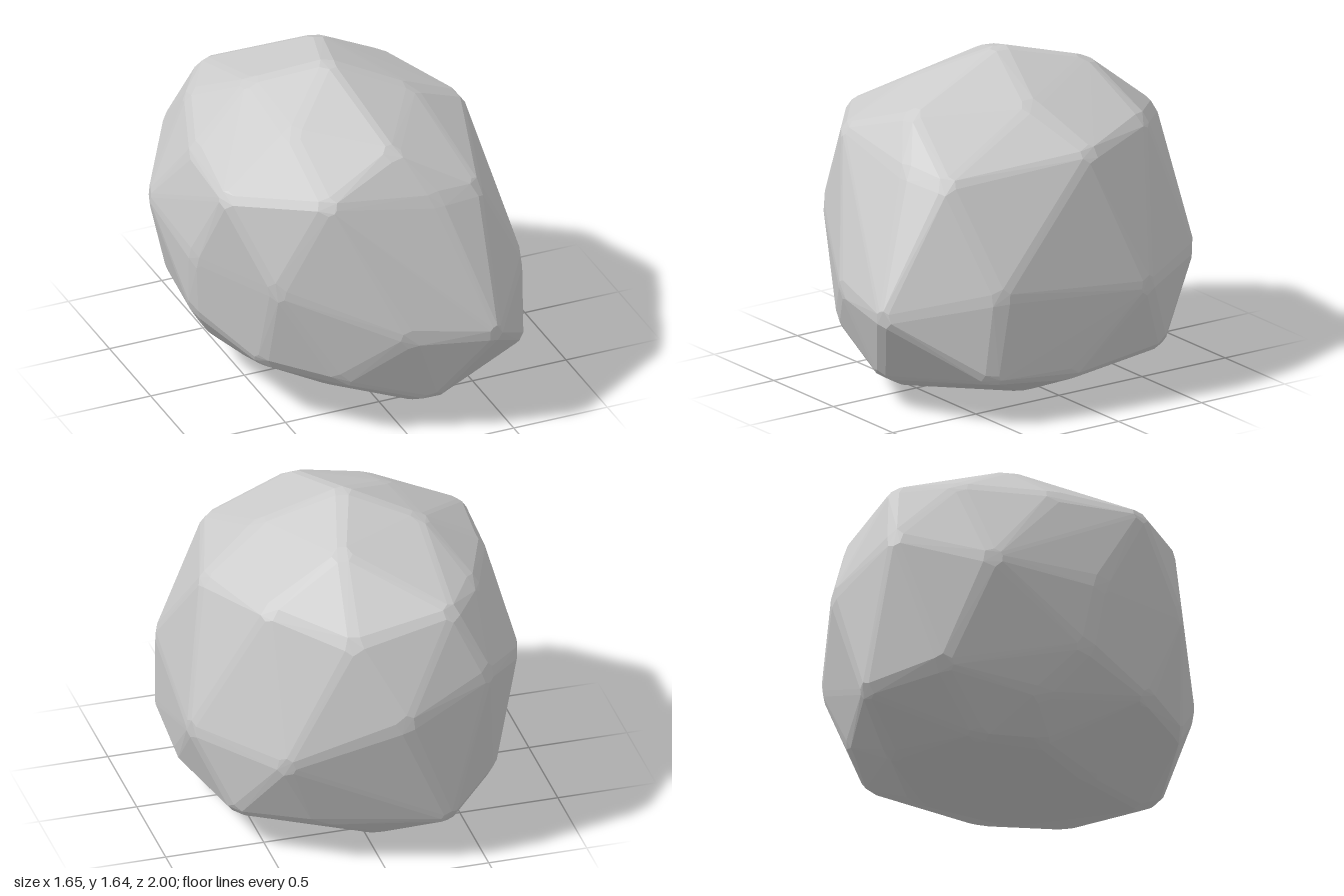
import * as THREE from 'three';
import { ConvexGeometry } from 'three/addons/geometries/ConvexGeometry.js';

// Sharp corners of the boulder, in layers from crown to underside
const crown = [
  [-0.04, 1.66, -0.03], [0.37, 1.475, 0.07], [0.09, 1.555, -0.46], [-0.39, 1.54, -0.2],
  [-0.36, 1.475, 0.26], [0.05, 1.44, 0.57],
];
const shoulder = [
  [0.69, 1.29, -0.06], [0.47, 1.2, 0.66], [0.22, 1.22, 0.72], [-0.36, 1.29, 0.69],
  [-0.77, 1.25, 0.36], [-0.74, 1.29, -0.09], [-0.57, 1.33, -0.54], [-0.38, 1.34, -0.81],
  [0.14, 1.25, -0.84], [0.49, 1.33, -0.53],
];
const waist = [
  [0.832, 0.59, -0.32], [0.76, 0.66, 0.53], [0.42, 0.55, 1.02], [-0.02, 0.58, 0.945],
  [-0.61, 0.82, 0.63], [-0.83, 0.8, 0.12], [-0.82, 0.85, -0.46], [-0.55, 1.0, -0.88],
  [-0.08, 0.85, -1.012], [0.49, 0.6, -0.83],
];
const skirt = [
  [0.77, 0.18, 0.12], [0.745, 0.23, 0.58], [0.15, 0.15, 0.83], [-0.32, 0.31, 0.75],
  [-0.61, 0.33, 0.46], [-0.805, 0.46, 0.05], [-0.64, 0.31, -0.65], [-0.33, 0.235, -0.945],
  [0.29, 0.22, -0.77], [0.66, 0.2, -0.52],
];
const underside = [
  [0.12, 0.09, 0.72], [-0.66, 0.23, -0.12], [-0.46, 0.06, -0.06], [-0.42, 0.06, -0.37],
  [-0.05, 0.055, -0.68], [0.39, 0.05, -0.37], [0.4, 0.02, 0.15], [0.05, 0.02, 0.35],
  [-0.2, 0.04, 0.3], [-0.04, -0.005, 0],
];

// Chamfer every edge: inset each hull face, then wrap the inset faces again
function chamferedHull(points, inset) {
  const pos = new ConvexGeometry(points).attributes.position;
  const corners = [];
  for (let i = 0; i < pos.count; i += 3) {
    const tri = [0, 1, 2].map((k) => new THREE.Vector3().fromBufferAttribute(pos, i + k));
    const mid = tri[0].clone().add(tri[1]).add(tri[2]).divideScalar(3);
    for (const v of tri) {
      const d = mid.clone().sub(v);
      corners.push(v.addScaledVector(d, Math.min(0.35, inset / d.length())));
    }
  }
  return new ConvexGeometry(corners);
}

export function createModel() {
  const points = [crown, shoulder, waist, skirt, underside].flat().map((p) => new THREE.Vector3(...p));
  const boulder = new THREE.Mesh(
    chamferedHull(points, 0.055),
    new THREE.MeshStandardMaterial({ color: 0xcccccc, flatShading: true }),
  );
  boulder.name = 'boulder';
  const group = new THREE.Group();
  group.name = 'rock';
  group.add(boulder);
  return group;
}
